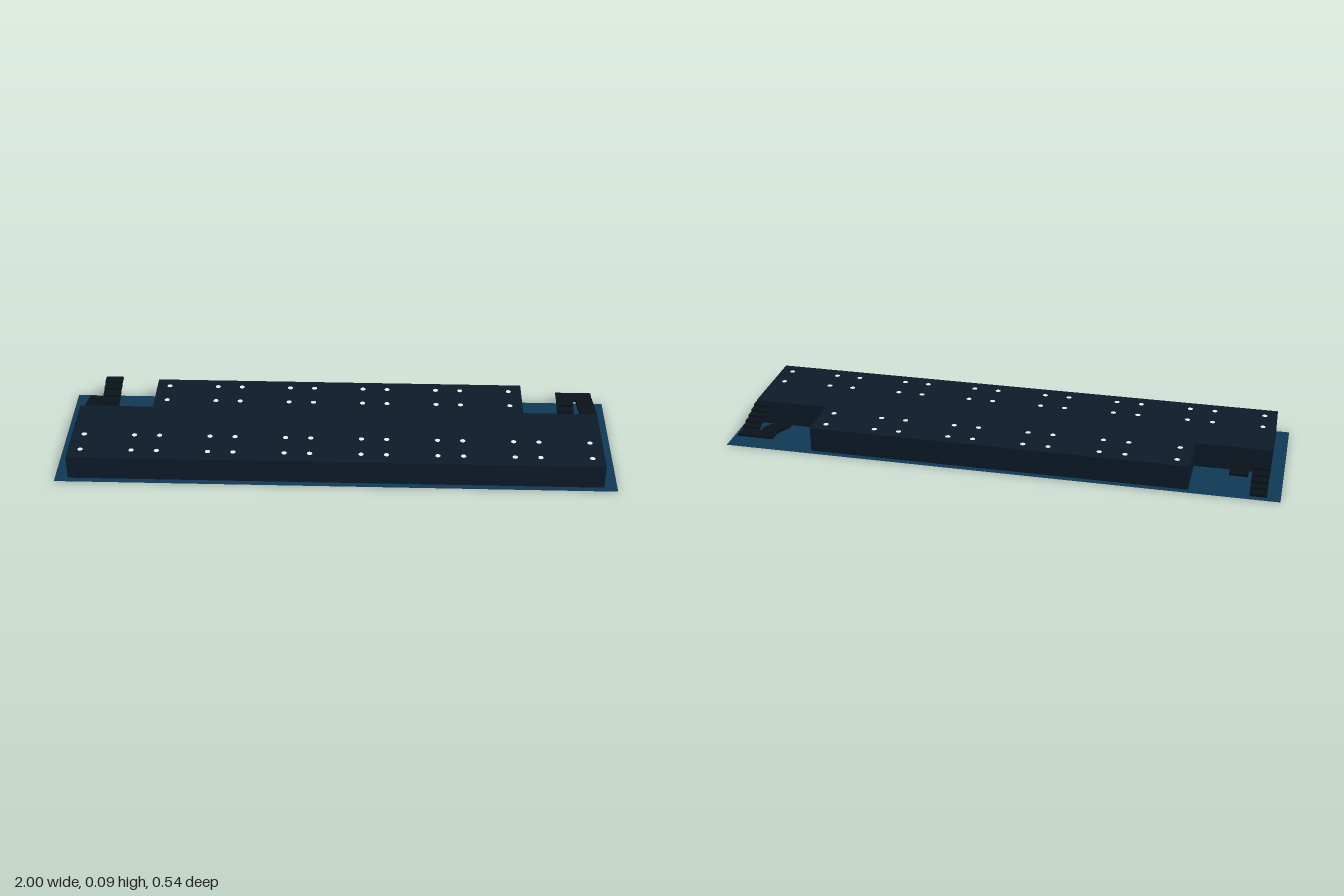
import * as THREE from 'three';

const paint = (color) => new THREE.MeshStandardMaterial({ color });

export function createModel() {
  const model = new THREE.Group();
  const wallPaint = paint(0x0d1b2a);
  const stairPaint = paint(0x0a121b);
  const lampPaint = paint(0xf4f4ee);
  const groundPaint = paint(0x0f3a57);
  groundPaint.side = THREE.DoubleSide;

  const top = 0.092, mid = 0.049, thick = 0.007;

  // Box given by its limits on each axis
  function box(parent, name, material, [x0, x1], [y0, y1], [z0, z1]) {
    const mesh = new THREE.Mesh(new THREE.BoxGeometry(x1 - x0, y1 - y0, z1 - z0), material);
    mesh.position.set((x0 + x1) / 2, (y0 + y1) / 2, (z0 + z1) / 2);
    mesh.name = name;
    parent.add(mesh);
  }

  // Flat ground sheet
  const ground = new THREE.Mesh(new THREE.PlaneGeometry(2, 0.54).rotateX(-Math.PI / 2), groundPaint);
  ground.name = 'ground';
  model.add(ground);

  // T-shaped building: rear corners are cut away for the stairs
  function slab(name, y0, y1) {
    const plan = new THREE.Shape([
      [-0.953, -0.25], [0.953, -0.25], [0.953, 0.07], [0.683, 0.07],
      [0.683, 0.25], [-0.683, 0.25], [-0.683, 0.07], [-0.953, 0.07],
    ].map(([x, y]) => new THREE.Vector2(x, y)));
    const geometry = new THREE.ExtrudeGeometry(plan, { depth: y1 - y0, bevelEnabled: false });
    const mesh = new THREE.Mesh(geometry.rotateX(-Math.PI / 2).translate(0, y0, 0), wallPaint);
    mesh.name = name;
    model.add(mesh);
  }
  slab('walls', 0.001, top - 0.003);
  slab('roof', top - 0.003, top);

  // Four round ceiling lamps in every room bay
  const lamps = new THREE.Group();
  lamps.name = 'lamps';
  model.add(lamps);
  const lampGeometry = new THREE.CylinderGeometry(0.0095, 0.0095, 0.002, 16);
  function lampRow(zCentre, bays) {
    for (let i = 0; i < bays; i++) {
      const xCentre = (i - (bays - 1) / 2) * 0.2725;
      for (const dx of [-0.091, 0.091]) for (const dz of [-0.046, 0.046]) {
        const lamp = new THREE.Mesh(lampGeometry, lampPaint);
        lamp.name = 'lamp';
        lamp.position.set(xCentre + dx, top - 0.0005, zCentre + dz);
        lamps.add(lamp);
      }
    }
  }
  lampRow(0.155, 7);
  lampRow(-0.162, 5);

  // Thin treads rising from (z0, y0) to (z1, y1)
  function flight(parent, name, xs, z0, z1, y0, y1, count = 5) {
    const depth = (z1 - z0) / count;
    for (let i = 0; i < count; i++) {
      const y = y0 + (y1 - y0) * (i + 1) / count;
      const ends = [z0 + i * depth, z0 + (i + 1) * depth].sort((a, b) => a - b);
      box(parent, name, stairPaint, xs, [y - 0.01, y], ends);
    }
  }

  // Left stairs: half landing hangs out at the back
  const left = new THREE.Group();
  left.name = 'leftStairs';
  model.add(left);
  flight(left, 'lowerTread', [0.82, 0.881], -0.07, -0.22, 0.002, mid);
  box(left, 'landing', stairPaint, [0.82, 0.953], [mid - thick, mid], [-0.27, -0.22]);
  flight(left, 'upperTread', [0.892, 0.953], -0.22, -0.07, mid, top - 0.003);

  // Right stairs: half landing lies against the building
  const right = new THREE.Group();
  right.name = 'rightStairs';
  model.add(right);
  flight(right, 'lowerTread', [-0.953, -0.893], -0.25, -0.1, 0.002, mid);
  box(right, 'landing', stairPaint, [-0.953, -0.82], [mid - thick, mid], [-0.1, -0.07]);
  flight(right, 'upperTread', [-0.884, -0.82], -0.1, -0.265, mid, top);

  return model;
}
